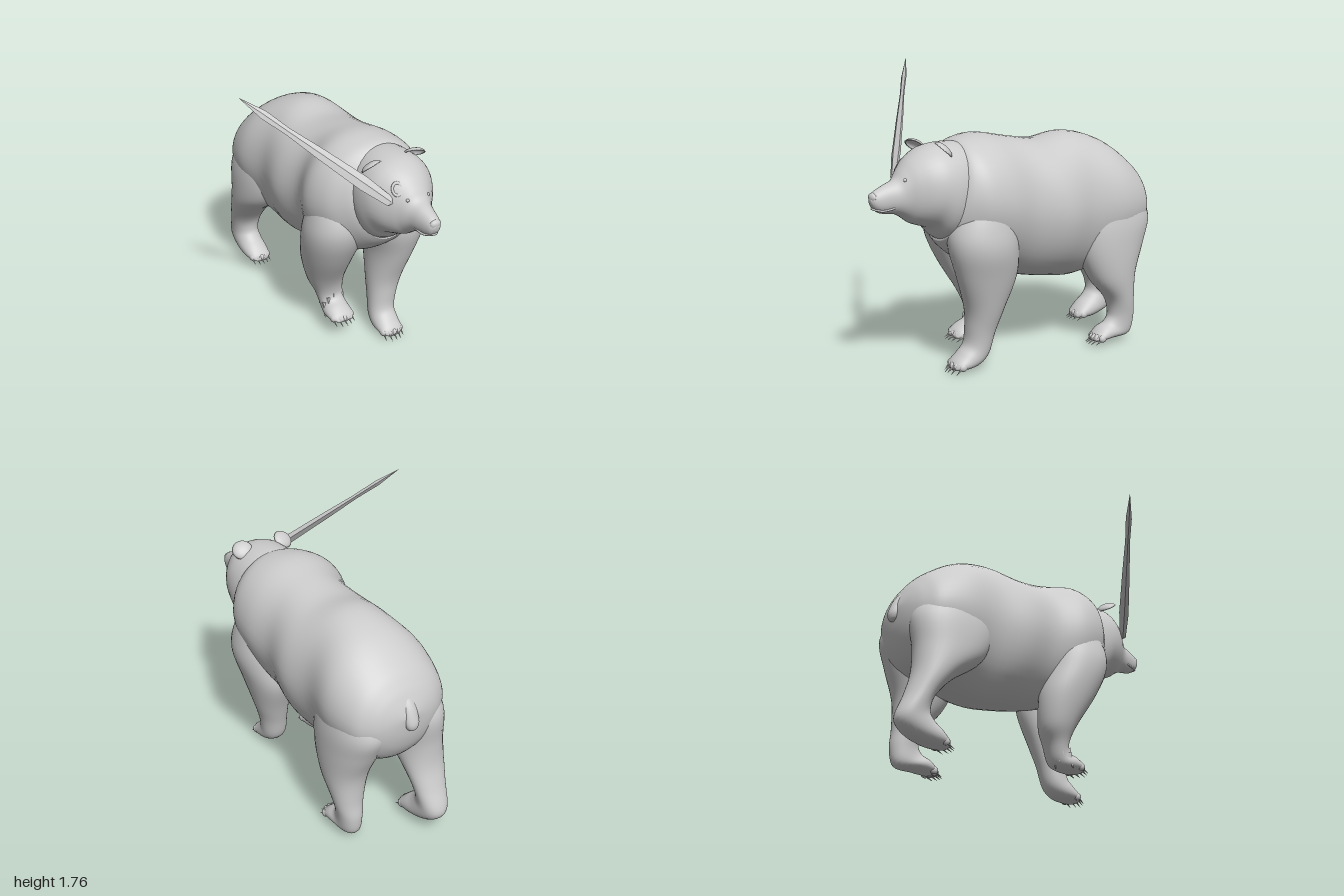
import * as THREE from 'three';

const grey = new THREE.MeshStandardMaterial({ color: 0xcccccc });
const flatGrey = new THREE.MeshStandardMaterial({ color: 0xcccccc, flatShading: true });
const openGrey = new THREE.MeshStandardMaterial({ color: 0xcccccc, side: THREE.DoubleSide });

// Smooth loft. Each ring is [zA, yA, zB, yB, xMin, xMax]: two opposite points
// of the side profile (top/bottom or front/back) and the width.
// tuck narrows the half of each ring nearer to B.
function loft(rings, power = 2, sides = 36, tuck = 0, steps = 5) {
  const pos = [], index = [], last = rings.length - 1;
  const at = (i) => rings[Math.max(0, Math.min(last, i))];
  const spline = (a, b, c, d, t) =>
    b + 0.5 * t * (c - a + t * (2 * a - 5 * b + 4 * c - d + t * (3 * (b - c) + d - a)));
  const round = (v) => Math.sign(v) * Math.abs(v) ** (2 / power);
  const rows = last * steps + 1;
  const centres = [];
  for (let r = 0; r < rows; r++) {
    const i = Math.min(last - 1, Math.floor(r / steps)), t = r / steps - i;
    const [zA, yA, zB, yB, x0, x1] = at(i).map((v, k) => spline(at(i - 1)[k], v, at(i + 1)[k], at(i + 2)[k], t));
    const c = [(x0 + x1) / 2, (yA + yB) / 2, (zA + zB) / 2];
    centres.push(c);
    for (let s = 0; s < sides; s++) {
      const a = (s / sides) * Math.PI * 2, v = round(Math.sin(a));
      const u = round(Math.cos(a)) * (1 + tuck * Math.min(v, 0));
      pos.push(c[0] + (u * (x1 - x0)) / 2, c[1] + (v * (yA - yB)) / 2, c[2] + (v * (zA - zB)) / 2);
    }
  }
  const first = rows * sides, end = first + 1, top = (rows - 1) * sides;
  pos.push(...centres[0], ...centres[rows - 1]);
  for (let s = 0; s < sides; s++) {
    const n = (s + 1) % sides;
    for (let r = 0; r < rows - 1; r++) {
      const a = r * sides + s, b = r * sides + n;
      index.push(a, b, b + sides, a, b + sides, a + sides);
    }
    index.push(first, n, s, end, top + s, top + n);
  }
  const g = new THREE.BufferGeometry();
  g.setAttribute('position', new THREE.Float32BufferAttribute(pos, 3));
  g.setIndex(index);
  g.computeVertexNormals();
  return g;
}

export function createModel() {
  const bear = new THREE.Group();
  bear.name = 'bear';
  const add = (name, geometry, at = [0, 0, 0], material = grey, parent = bear) => {
    const m = new THREE.Mesh(geometry, material);
    m.name = name;
    m.position.set(...at);
    parent.add(m);
    return m;
  };
  const aim = (mesh, from, dir) =>
    mesh.quaternion.setFromUnitVectors(new THREE.Vector3(...from), new THREE.Vector3(...dir).normalize());

  // Trunk, from rump to collar
  add('body', loft([
    [-0.93, 0.95, -0.935, 0.9, 0.17, 0.26],
    [-0.9, 1.02, -0.92, 0.78, 0.05, 0.37],
    [-0.86, 1.09, -0.88, 0.67, -0.04, 0.46],
    [-0.78, 1.18, -0.8, 0.58, -0.115, 0.535],
    [-0.6, 1.3, -0.62, 0.5, -0.15, 0.578],
    [-0.38, 1.36, -0.4, 0.45, -0.118, 0.548],
    [-0.16, 1.335, -0.19, 0.475, -0.145, 0.58],
    [0.05, 1.365, 0.03, 0.52, -0.108, 0.542],
    [0.24, 1.4, 0.22, 0.58, -0.165, 0.565],
    [0.37, 1.392, 0.4, 0.66, -0.125, 0.555],
    [0.44, 1.37, 0.52, 0.75, -0.04, 0.505],
    [0.48, 1.32, 0.57, 0.81, 0.015, 0.455],
  ], 2.1, 48, 0.1));

  // Head, from neck to muzzle
  const head = new THREE.Group();
  head.name = 'head';
  bear.add(head);
  add('skull', loft([
    [0.35, 1.36, 0.45, 0.8, 0.02, 0.45],
    [0.48, 1.375, 0.57, 0.82, 0.0, 0.47],
    [0.6, 1.37, 0.64, 0.89, 0.01, 0.46],
    [0.68, 1.345, 0.7, 0.915, 0.04, 0.43],
    [0.75, 1.3, 0.75, 0.935, 0.085, 0.385],
    [0.8, 1.245, 0.79, 0.965, 0.125, 0.345],
    [0.84, 1.195, 0.84, 0.995, 0.155, 0.318],
    [0.9, 1.17, 0.89, 1.005, 0.172, 0.3],
    [0.96, 1.145, 0.94, 1.015, 0.187, 0.287],
    [0.985, 1.125, 0.975, 1.04, 0.2, 0.273],
    [0.998, 1.1, 0.993, 1.07, 0.222, 0.252],
  ], 2.1), [0, 0, 0], grey, head);
  const nose = add('nose', new THREE.SphereGeometry(1, 20, 14), [0.237, 1.108, 0.977], grey, head);
  nose.scale.set(0.036, 0.026, 0.021);
  const lip = new THREE.CatmullRomCurve3([
    [0.178, 1.043, 0.87], [0.194, 1.033, 0.94], [0.237, 1.043, 0.982], [0.28, 1.033, 0.94], [0.296, 1.043, 0.87],
  ].map((p) => new THREE.Vector3(...p)));
  add('lips', new THREE.TubeGeometry(lip, 30, 0.006, 8), [0, 0, 0], grey, head);

  for (const side of [-1, 1]) {
    // Cupped ear: a shallow open dome leaning forward
    const ear = add('ear', new THREE.SphereGeometry(1, 24, 10, 0, Math.PI * 2, 0, Math.PI / 2),
      [0.21 + side * 0.147, 1.343 + side * 0.007, 0.592], openGrey, head);
    ear.scale.set(0.063, 0.028, 0.06);
    ear.rotation.set(-0.68, 0, -side * 0.25);
    const rim = add('earRim', new THREE.TorusGeometry(0.97, 0.07, 8, 24), [0, 0, 0], grey, ear);
    rim.rotation.x = Math.PI / 2;
    add('eye', new THREE.SphereGeometry(0.01, 14, 10), [0.235 + side * 0.07, 1.195, 0.809], grey, head);
  }

  // Wound ring on the brow
  const wound = add('wound', new THREE.TorusGeometry(0.027, 0.008, 8, 18), [0.134, 1.247, 0.748], grey, head);
  wound.scale.y = 1.3;
  aim(wound, [0, 0, 1], [-0.45, 0.5, 0.75]);

  // Long thin shard lodged in the side of the head
  const profile = [[0, 0], [0.03, 0.02], [0.044, 0.2], [0.034, 0.5], [0.022, 0.72], [0.027, 0.88], [0, 1.05]];
  const shard = add('shard', new THREE.LatheGeometry(profile.map((p) => new THREE.Vector2(...p)), 5),
    [0.1, 1.17, 0.76], flatGrey);
  aim(shard, [0, 1, 0], [-0.69, 0.61, -0.52]);
  shard.scale.z = 0.45;

  // Legs run down from shoulder or hip and bend forward into the paw
  const legs = {
    leftFrontLeg: [
      [0.38, 1.22, 0.24, 1.22, 0.3, 0.42], [0.47, 1.06, 0.18, 1.06, 0.24, 0.51],
      [0.55, 0.9, 0.14, 0.88, 0.21, 0.56], [0.56, 0.77, 0.13, 0.74, 0.22, 0.57],
      [0.51, 0.6, 0.13, 0.58, 0.25, 0.53], [0.44, 0.4, 0.2, 0.38, 0.25, 0.475],
      [0.425, 0.27, 0.245, 0.24, 0.25, 0.435], [0.43, 0.18, 0.285, 0.1, 0.245, 0.415],
      [0.47, 0.13, 0.36, 0.04, 0.24, 0.41], [0.51, 0.09, 0.47, 0.03, 0.25, 0.4],
      [0.525, 0.065, 0.52, 0.035, 0.28, 0.37],
    ],
    rightFrontLeg: [
      [0.36, 1.22, 0.24, 1.22, 0, 0.12], [0.42, 1.06, 0.14, 1.06, -0.1, 0.18],
      [0.48, 0.9, 0.09, 0.88, -0.158, 0.2], [0.47, 0.77, 0.06, 0.74, -0.17, 0.2],
      [0.39, 0.6, 0.02, 0.56, -0.14, 0.165], [0.27, 0.4, 0.03, 0.37, -0.08, 0.155],
      [0.23, 0.29, 0.08, 0.26, -0.03, 0.15], [0.24, 0.24, 0.125, 0.15, -0.01, 0.15],
      [0.29, 0.21, 0.2, 0.12, -0.02, 0.15], [0.33, 0.18, 0.3, 0.12, -0.01, 0.145],
      [0.35, 0.15, 0.345, 0.13, 0.02, 0.12],
    ],
    leftHindLeg: [
      [-0.48, 1.12, -0.72, 1.1, 0.3, 0.45], [-0.4, 0.98, -0.82, 0.98, 0.22, 0.53],
      [-0.35, 0.8, -0.895, 0.82, 0.22, 0.572], [-0.37, 0.62, -0.84, 0.66, 0.26, 0.578],
      [-0.45, 0.44, -0.765, 0.48, 0.31, 0.57], [-0.56, 0.31, -0.75, 0.3, 0.36, 0.55],
      [-0.585, 0.21, -0.76, 0.17, 0.38, 0.53], [-0.56, 0.16, -0.73, 0.06, 0.38, 0.52],
      [-0.51, 0.13, -0.6, 0.05, 0.37, 0.52], [-0.465, 0.09, -0.5, 0.05, 0.39, 0.51],
      [-0.445, 0.07, -0.45, 0.055, 0.42, 0.48],
    ],
    rightHindLeg: [
      [-0.48, 1.12, -0.72, 1.1, -0.03, 0.12], [-0.4, 0.98, -0.82, 0.98, -0.1, 0.2],
      [-0.38, 0.8, -0.91, 0.82, -0.145, 0.2], [-0.46, 0.62, -0.895, 0.62, -0.15, 0.17],
      [-0.66, 0.46, -0.9, 0.46, -0.13, 0.14], [-0.77, 0.33, -0.94, 0.32, -0.1, 0.115],
      [-0.79, 0.24, -0.995, 0.17, -0.08, 0.1], [-0.76, 0.19, -0.93, 0.09, -0.075, 0.1],
      [-0.71, 0.15, -0.8, 0.05, -0.07, 0.1], [-0.67, 0.11, -0.7, 0.05, -0.05, 0.09],
      [-0.65, 0.08, -0.655, 0.055, -0.02, 0.06],
    ],
  };
  for (const [name, rings] of Object.entries(legs)) {
    const leg = new THREE.Group();
    leg.name = name;
    bear.add(leg);
    add('limb', loft(rings, 2.1), [0, 0, 0], grey, leg);
    // Five toes, each with a claw, in a shallow arc across the paw
    const [z, y, , yLow, x0, x1] = rings[rings.length - 2];
    const slope = name === 'leftFrontLeg' ? -0.9 : -0.5;
    for (let i = -2; i <= 2; i++) {
      const x = (x0 + x1) / 2 + i * (x1 - x0) * 0.21, back = z - 0.006 * i * i;
      const toe = add('toe', new THREE.SphereGeometry(0.021, 12, 10), [x, (y + yLow) / 2, back - 0.003], grey, leg);
      toe.scale.set(0.85, 1.15, 1.3);
      const claw = add('claw', new THREE.ConeGeometry(0.009, 0.065, 8), [x, (y + yLow) / 2 - 0.02, back + 0.026], grey, leg);
      aim(claw, [0, 1, 0], [0, slope, 1]);
    }
  }

  // Ragged tufts around the raised right front wrist
  for (let i = 0; i < 11; i++) {
    const a = (i / 11) * Math.PI * 2, drop = 0.035 * (i % 3);
    const tuft = add('tornFur', new THREE.ConeGeometry(0.028, 0.1, 4),
      [0.065 + 0.07 * Math.cos(a), 0.235 - drop, 0.165 + drop * 0.5 + 0.058 * Math.sin(a)], flatGrey);
    aim(tuft, [0, 1, 0], [0.2 * Math.cos(a), -1, 0.3 + 0.2 * Math.sin(a)]);
  }

  // Short hanging tail growing out of the rump
  add('tail', loft([
    [-0.78, 1.05, -0.85, 1.08, 0.18, 0.25], [-0.85, 0.98, -0.925, 0.99, 0.172, 0.258],
    [-0.89, 0.9, -0.962, 0.9, 0.168, 0.26], [-0.905, 0.855, -0.96, 0.855, 0.18, 0.248],
    [-0.925, 0.838, -0.945, 0.838, 0.205, 0.225],
  ], 2, 20));

  return bear;
}
